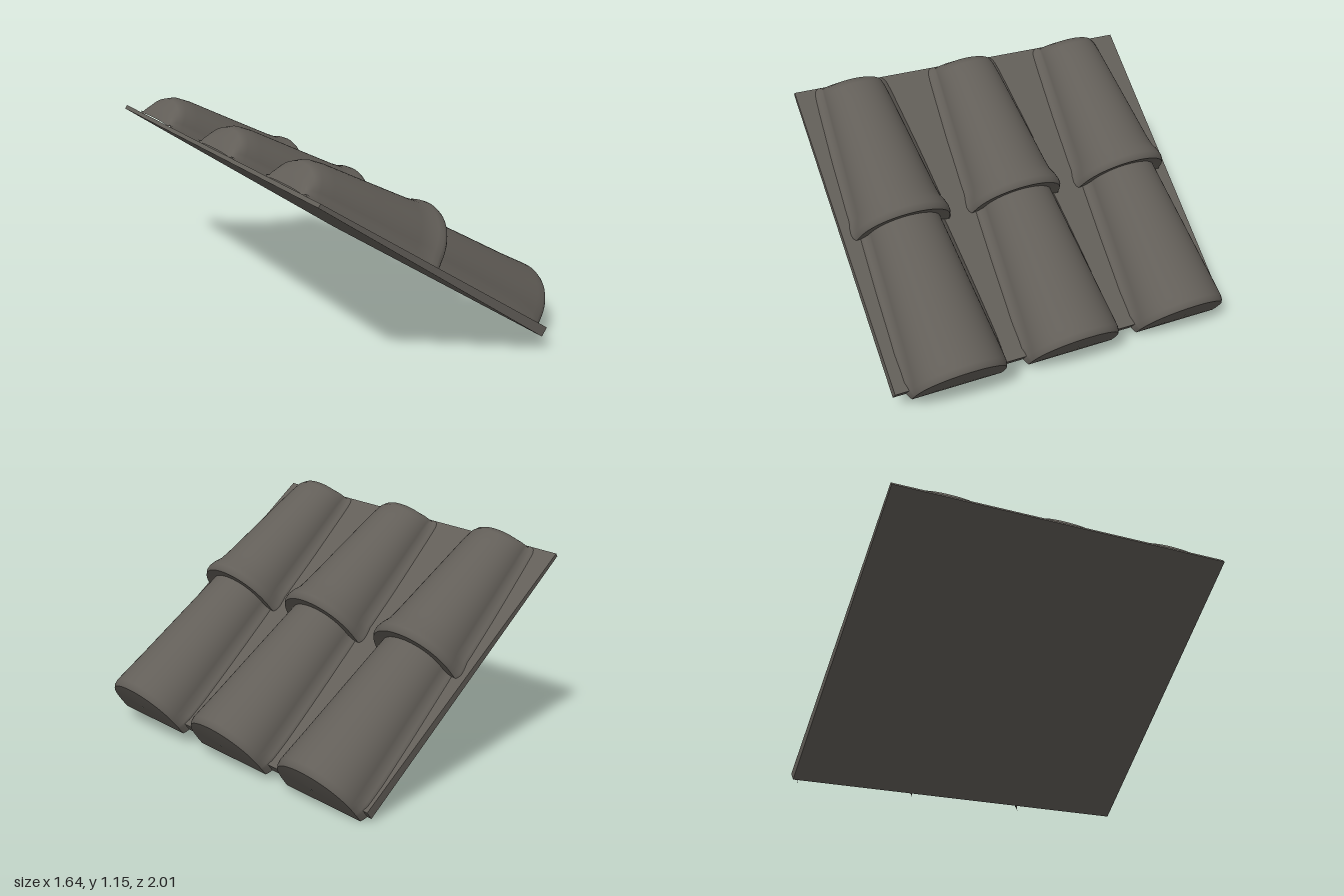
import * as THREE from 'three';

// Roof frame: x runs down the slope, y is off the roof plane, z runs across
const CORNER = new THREE.Vector3(-0.82, 1.08, 0.79);
const DOWN = new THREE.Vector3(0.782, -0.609, 0.135).normalize();
const ACROSS = new THREE.Vector3(0.138, -0.05, -0.989);
const LENGTH = 1.585, WIDTH = 1.81;

const sheetTop = (x) => 0.02 + 0.03 * Math.min(1, Math.max(0, x / LENGTH));

// Closed arch outline with a soft flare where it meets the sheet: [across, up]
function archOutline(x, half, height, flare) {
  const base = sheetTop(x) - 0.004;
  const side = [[half + flare, 0.002], [half + flare, base], [half + flare * 0.4, base + 0.012]];
  const points = [...side];
  const steps = 28;
  for (let k = 0; k <= steps; k++) {
    const a = 0.16 + (Math.PI - 0.32) * k / steps;
    points.push([half * Math.cos(a), base + (height - base) * Math.pow(Math.sin(a), 0.9)]);
  }
  for (const [z, y] of [...side].reverse()) points.push([-z, y]);
  return points;
}

// Loft through stations [x, half width, height, flare], with a crisp closed lower end
function barrelGeometry(stations, bulge) {
  const positions = [], index = [];
  const rings = stations.map(([x, half, height, flare]) =>
    archOutline(x, half, height, flare).map(([z, y]) => [x, y, z + 0.0 - 0.02 * x]));
  const n = rings[0].length;
  rings.forEach((ring) => ring.forEach((p) => positions.push(...p)));
  for (let i = 0; i < rings.length - 1; i++) {
    for (let j = 0; j < n - 1; j++) {
      const a = i * n + j, b = a + n;
      index.push(a, b, a + 1, b, b + 1, a + 1);
    }
  }
  // End face: rings shrinking to a slightly bulged centre
  const last = rings[rings.length - 1];
  const [x, , height] = stations[stations.length - 1];
  const start = positions.length / 3;
  const centre = [x, height * 0.45, -0.02 * x];
  const scales = [1, 0.85, 0.5, 0.02];
  scales.forEach((s) => last.forEach((p) => positions.push(
    x + bulge * (1 - s * s),
    centre[1] + (p[1] - centre[1]) * s,
    centre[2] + (p[2] - centre[2]) * s)));
  for (let i = 0; i < scales.length - 1; i++) {
    for (let j = 0; j < n; j++) {
      const k = (j + 1) % n;
      const a = start + i * n + j, a2 = start + i * n + k;
      index.push(a, a + n, a2, a + n, a2 + n, a2);
    }
  }
  const geometry = new THREE.BufferGeometry();
  geometry.setAttribute('position', new THREE.Float32BufferAttribute(positions, 3));
  geometry.setIndex(index);
  geometry.computeVertexNormals();
  return geometry;
}

// Flat backing sheet, thinner at the upper edge
function sheetGeometry() {
  const geometry = new THREE.BoxGeometry(LENGTH, 1, WIDTH);
  geometry.translate(LENGTH / 2, 0.5, -WIDTH / 2);
  const p = geometry.attributes.position;
  for (let i = 0; i < p.count; i++) {
    if (p.getY(i) > 0.5) p.setY(i, sheetTop(p.getX(i)));
  }
  geometry.computeVertexNormals();
  return geometry;
}

export function createModel() {
  const clay = new THREE.MeshStandardMaterial({ color: 0x625e58 });
  clay.name = 'dark clay';

  const model = new THREE.Group();
  model.name = 'roofTiles';

  const roof = new THREE.Group();
  roof.name = 'slopedRoof';
  const normal = new THREE.Vector3().crossVectors(DOWN, ACROSS).normalize();
  const side = new THREE.Vector3().crossVectors(DOWN, normal);
  roof.applyMatrix4(new THREE.Matrix4().makeBasis(DOWN, normal, side).setPosition(CORNER));
  model.add(roof);

  const add = (name, geometry, z = 0) => {
    const mesh = new THREE.Mesh(geometry, clay);
    mesh.name = name;
    mesh.position.z = z;
    roof.add(mesh);
  };

  add('backingSheet', sheetGeometry());

  // Upper tiles end in a rounded lip that overlaps the lower tiles
  const upper = barrelGeometry([
    [0.005, 0.14, 0.025, 0.04], [0.015, 0.15, 0.09, 0.04], [0.035, 0.158, 0.145, 0.04],
    [0.07, 0.163, 0.17, 0.04], [0.14, 0.17, 0.185, 0.04], [0.4, 0.193, 0.217, 0.04],
    [0.66, 0.215, 0.25, 0.035], [0.72, 0.222, 0.262, 0.03], [0.755, 0.235, 0.278, 0.025],
    [0.785, 0.243, 0.284, 0.02], [0.805, 0.243, 0.28, 0.015], [0.818, 0.236, 0.268, 0.01],
  ], -0.012);
  const lower = barrelGeometry([
    [0.7, 0.18, 0.21, 0.03], [0.84, 0.19, 0.222, 0.04], [1.1, 0.207, 0.243, 0.04],
    [1.4, 0.227, 0.266, 0.035], [1.54, 0.236, 0.28, 0.025], [1.585, 0.238, 0.284, 0.012],
    [1.605, 0.236, 0.279, 0.006], [1.618, 0.23, 0.268, 0.002],
  ], 0.006);

  for (let i = 0; i < 3; i++) {
    const z = -(0.285 + 0.61 * i);
    add('upperTile' + (i + 1), upper, z);
    add('lowerTile' + (i + 1), lower, z);
  }
  return model;
}
